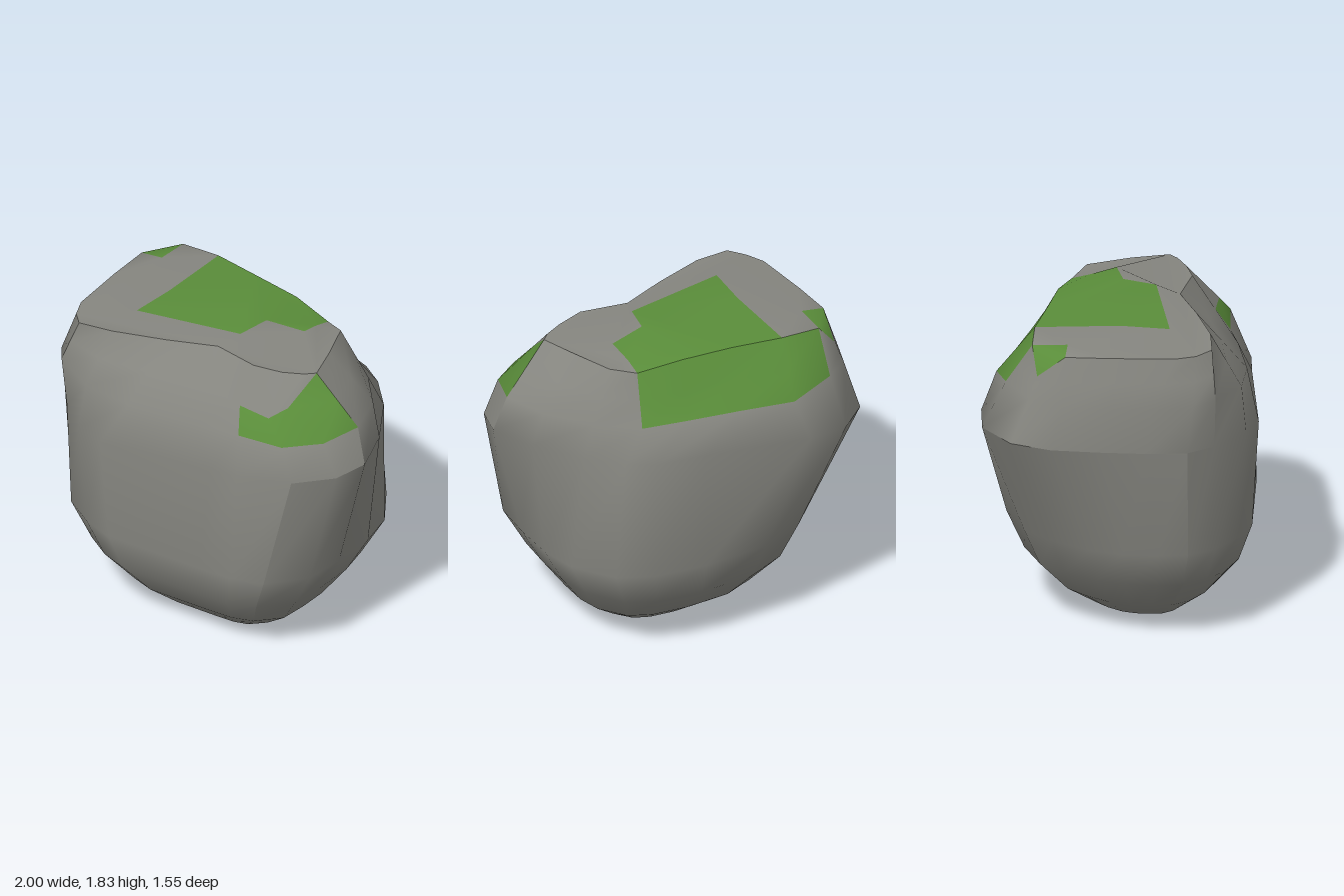
import * as THREE from 'three';
import { mergeVertices } from 'three/addons/utils/BufferGeometryUtils.js';

// Outlines as [x, z], counter-clockwise seen from above, starting at +x.
const girth = [
  [1, 0.15], [0.9, -0.12], [0.72, -0.4], [0.55, -0.57], [0.4, -0.66], [0.1, -0.69], [-0.52, -0.78],
  [-0.76, -0.75], [-0.95, -0.57], [-1, -0.34], [-0.98, -0.05], [-0.95, 0.2], [-0.9, 0.42], [-0.78, 0.56],
  [-0.58, 0.72], [-0.39, 0.77], [0.3, 0.66], [0.47, 0.64], [0.77, 0.53], [0.95, 0.35]];
const belly = [
  [0.82, 0.15], [0.82, -0.12], [0.77, -0.34], [0.61, -0.57], [0.41, -0.66], [0.1, -0.69], [-0.3, -0.66],
  [-0.58, -0.53], [-0.72, -0.36], [-0.84, -0.14], [-0.88, 0.05], [-0.88, 0.25], [-0.85, 0.42], [-0.75, 0.56],
  [-0.56, 0.67], [-0.36, 0.73], [0.25, 0.69], [0.45, 0.67], [0.63, 0.6], [0.8, 0.4]];
// Shoulder and crown points as [x, y, z].
const shoulder = [
  [0.93, 1.5, 0.12], [0.84, 1.5, -0.14], [0.64, 1.48, -0.36], [0.41, 1.47, -0.51], [0.15, 1.48, -0.57],
  [-0.15, 1.49, -0.63], [-0.46, 1.5, -0.7], [-0.73, 1.55, -0.62], [-0.9, 1.52, -0.47], [-0.97, 1.5, -0.28],
  [-0.96, 1.5, 0], [-0.94, 1.5, 0.22], [-0.9, 1.5, 0.45], [-0.81, 1.52, 0.57], [-0.55, 1.5, 0.69],
  [-0.25, 1.49, 0.69], [0.15, 1.47, 0.6], [0.4, 1.45, 0.53], [0.68, 1.46, 0.5], [0.86, 1.48, 0.35]];
const crown = [
  [0.67, 1.78, 0.16], [0.6, 1.78, -0.05], [0.5, 1.77, -0.29], [0.36, 1.74, -0.36], [0.1, 1.78, -0.41],
  [-0.2, 1.79, -0.44], [-0.5, 1.79, -0.48], [-0.74, 1.78, -0.47], [-0.86, 1.64, -0.43], [-0.88, 1.77, -0.27],
  [-0.87, 1.77, 0], [-0.84, 1.77, 0.35], [-0.79, 1.77, 0.46], [-0.71, 1.78, 0.54], [-0.5, 1.79, 0.51],
  [-0.2, 1.79, 0.4], [0.07, 1.79, 0.28], [0.35, 1.79, 0.32], [0.51, 1.78, 0.27], [0.62, 1.78, 0.21]];
// Edge of the moss across the flat top, and the corner of the small patch.
const mossEdge = [[0.36, 1.77, -0.25], [0.38, 1.81, -0.11], [0.16, 1.83, -0.05],
  [0.12, 1.82, 0.14], [-0.5, 1.81, 0.28], [-0.48, 1.81, 0]];
const mossCorner = [-0.74, 1.79, -0.27];

export function createModel() {
  const n = girth.length;

  // Rounded underside: the belly outline fitted to [y, xMin, xMax, zMin, zMax]
  const rings = [
    [0, -0.2, 0.25, -0.09, 0.12], [0.04, -0.4, 0.38, -0.22, 0.35], [0.17, -0.59, 0.55, -0.41, 0.5],
    [0.36, -0.76, 0.69, -0.59, 0.65], [0.59, -0.88, 0.82, -0.69, 0.73],
  ].map(([y, x0, x1, z0, z1]) => belly.map(([x, z]) => [
    x0 + (x1 - x0) * (x + 0.88) / 1.7, y, z0 + (z1 - z0) * (z + 0.69) / 1.42]));
  rings.push(girth.map(([x, z]) => [x, 1.27 - 0.04 * z + 0.03 * x, z]));

  // Brow ring halfway up the slope, dented at the front left corner
  const brow = shoulder.map((p, k) => p.map((v, i) => (v + crown[k][i]) / 2));
  brow[17] = [0.35, 1.59, 0.45];
  brow[18] = [0.55, 1.58, 0.45];
  brow[19] = [0.62, 1.63, 0.36];
  rings.push(shoulder, brow, crown);

  // Each region is smooth inside and creased against its neighbours
  const regions = {};
  for (const name of ['front', 'back', 'rightFace', 'top']) regions[name] = { Rock: [], Moss: [] };
  const regionAt = (r, k) => {
    if (r >= 5) return k >= 13 ? 'front' : 'back';
    if (k >= 7 && k <= 11) return 'rightFace';
    return k >= 12 && k <= 17 ? 'front' : 'back';
  };
  const triangle = (region, part, ...corners) => corners.forEach((p) => regions[region][part].push(...p));
  const cap = (part, points) => {
    const flat = points.map(([x, , z]) => new THREE.Vector2(x, -z));
    for (const f of THREE.ShapeUtils.triangulateShape(flat, [])) triangle('top', part, ...f.map((i) => points[i]));
  };

  // Sides, with moss on the back slope and the front left corner
  for (let r = 0; r < rings.length - 1; r++) {
    for (let k = 0; k < n; k++) {
      const j = (k + 1) % n;
      const [a, b, c, d] = [rings[r][k], rings[r][j], rings[r + 1][j], rings[r + 1][k]];
      const back = r >= 6 && k >= 3 && k <= 6;
      const corner = r === 6 && k >= 17;
      triangle(regionAt(r, k), back || corner || (r === 7 && k === 19) ? 'Moss' : 'Rock', a, b, c);
      triangle(regionAt(r, k), back || corner ? 'Moss' : 'Rock', a, c, d);
    }
  }

  // Flat top and its moss patches
  cap('Rock', [...crown.slice(9), ...crown.slice(0, 4), ...mossEdge, crown[6], crown[7], mossCorner]);
  cap('Moss', [...crown.slice(3, 7), ...[...mossEdge].reverse()]);
  cap('Moss', [crown[7], crown[8], crown[9], mossCorner]);

  // Closed base
  for (let k = 0; k < n; k++) triangle(regionAt(0, k), 'Rock', [0.03, 0, 0.02], rings[0][(k + 1) % n], rings[0][k]);

  // Rock and moss of a region share their normals
  const materials = {
    Rock: new THREE.MeshStandardMaterial({ color: 0x85857f }),
    Moss: new THREE.MeshStandardMaterial({ color: 0x5a8d3a }),
  };
  const group = new THREE.Group();
  group.name = 'mossyBoulder';
  for (const [region, parts] of Object.entries(regions)) {
    const positions = [...parts.Rock, ...parts.Moss];
    let surface = new THREE.BufferGeometry();
    surface.setAttribute('position', new THREE.Float32BufferAttribute(positions, 3));
    surface = mergeVertices(surface);
    surface.computeVertexNormals();
    const index = Array.from(surface.index.array);
    const split = parts.Rock.length / 3;
    for (const [part, faces] of [['Rock', index.slice(0, split)], ['Moss', index.slice(split)]]) {
      if (!faces.length) continue;
      const mesh = new THREE.Mesh(surface.clone().setIndex(faces).toNonIndexed(), materials[part]);
      mesh.name = region + part;
      group.add(mesh);
    }
  }
  return group;
}
